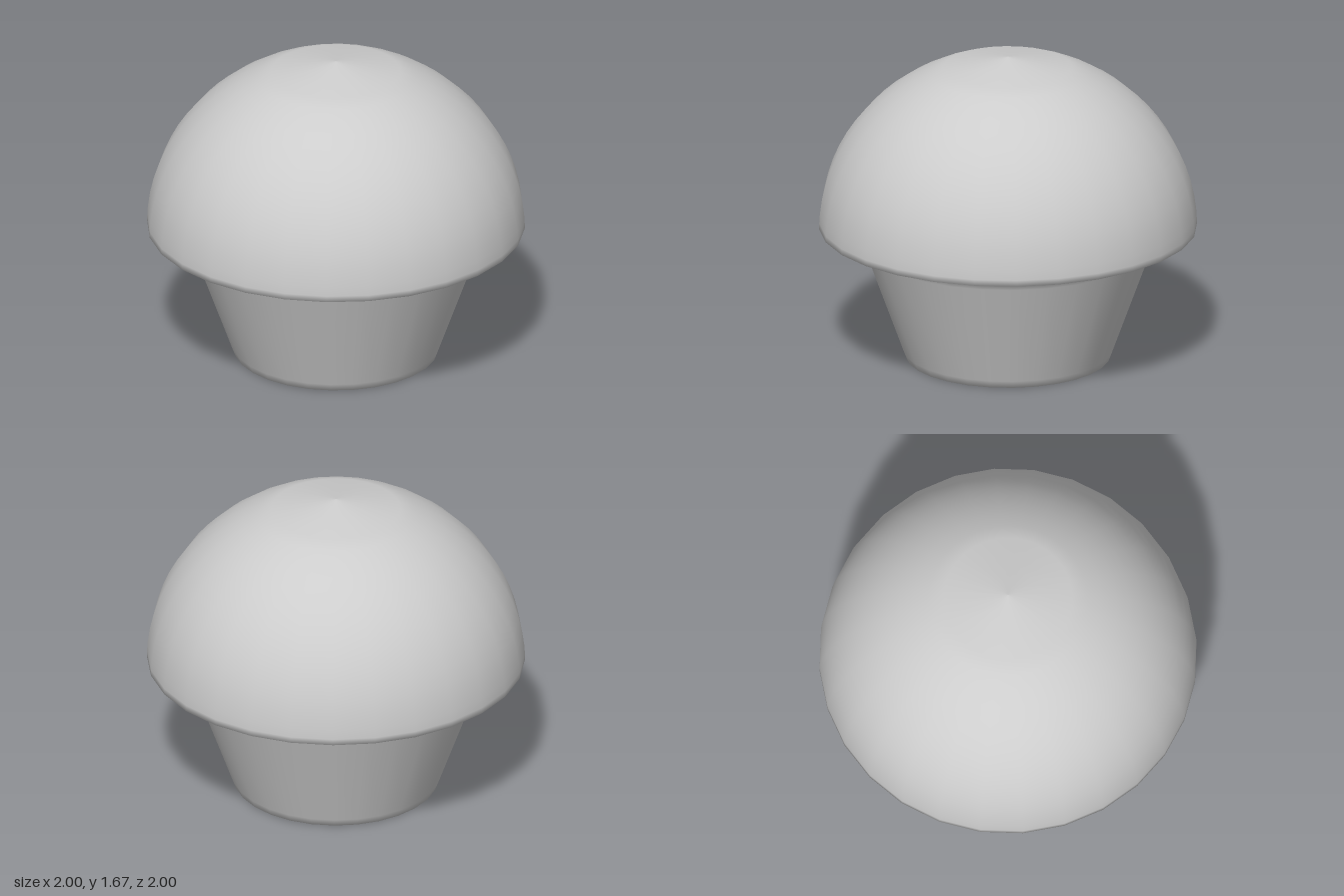
import * as THREE from 'three';

const SIDES = 28;

export function createModel() {
  const model = new THREE.Group();
  model.name = 'mushroom';
  const grey = new THREE.MeshStandardMaterial({ color: 0xcccccc });
  grey.name = 'light grey';

  // Turns a bottom-to-top [radius, height] profile around the y axis
  function turned(name, profile) {
    const points = profile.map(([r, y]) => new THREE.Vector2(r, y));
    const mesh = new THREE.Mesh(new THREE.LatheGeometry(points, SIDES), grey);
    mesh.name = name;
    model.add(mesh);
  }

  // Tapered stem with closed base, flaring out under the cap;
  // the close pairs of points keep the edges only slightly soft
  turned('stem', [
    [0, 0], [0.51, 0], [0.54, 0], [0.555, 0.04],
    [0.765, 0.62], [0.78, 0.66], [0.82, 0.671], [0.9, 0.693],
  ]);

  // Cap: outer underside, rim, then a dome ending in a shallow cone
  const cap = [[0.9, 0.693], [0.97, 0.712]];
  const angles = [0, 2];
  for (let a = 5; a <= 70; a += 5) angles.push(a);
  angles.push(90);
  for (const a of angles) {
    const t = THREE.MathUtils.degToRad(a);
    cap.push([a === 90 ? 0 : Math.cos(t), 0.72 + 0.947 * Math.sin(t)]);
  }
  turned('cap', cap);

  return model;
}
